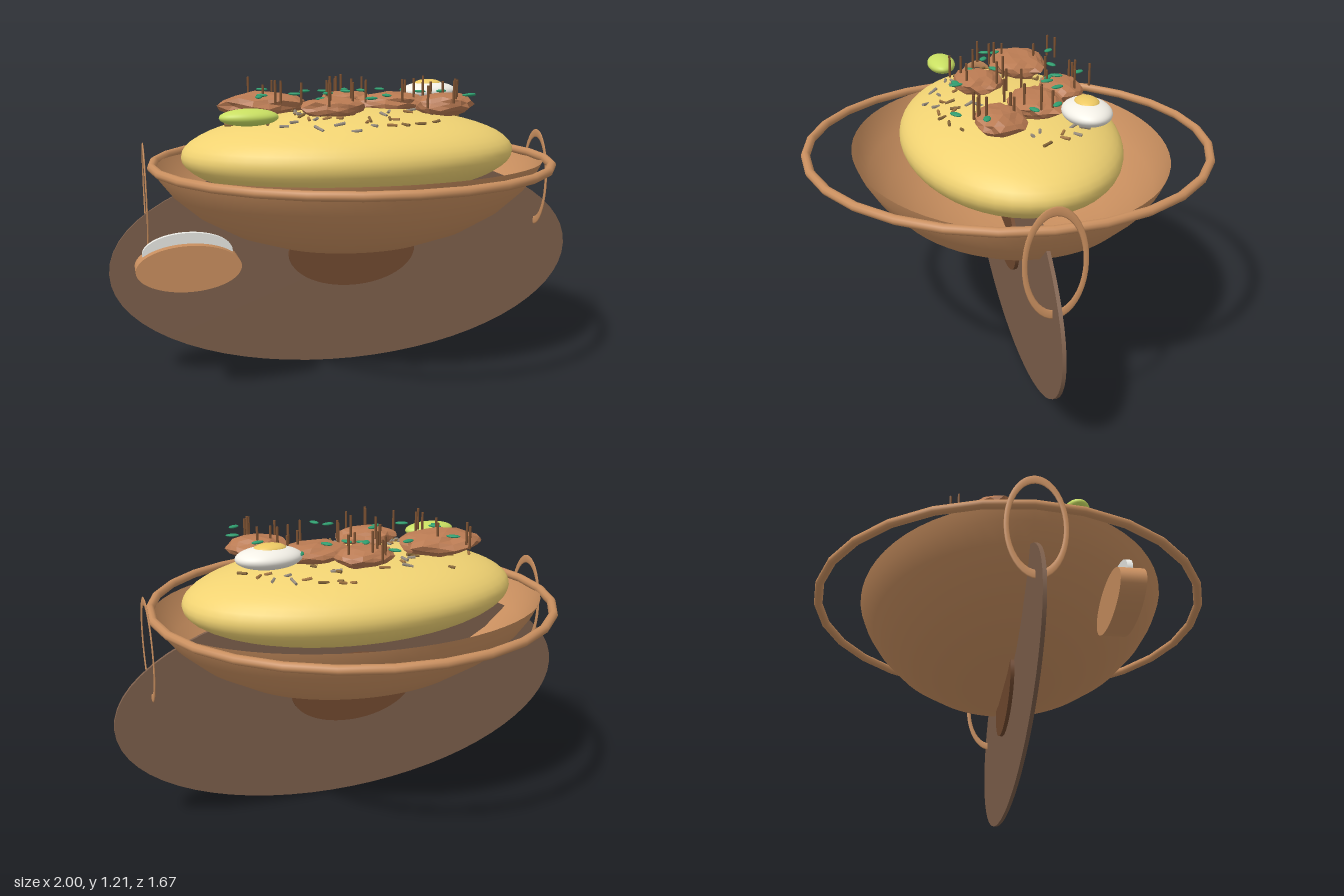
import * as THREE from 'three';

const mat = (color, extra = {}) => {
  const m = new THREE.MeshStandardMaterial({ color });
  return Object.assign(m, extra);
};

// Seeded random numbers for the scattered garnish
function seeded(seed) {
  return () => {
    seed = (seed * 16807) % 2147483647;
    return seed / 2147483647;
  };
}

export function createModel() {
  const group = new THREE.Group();
  const rand = seeded(4217);
  const wood = mat(0xc98f5f);
  const riceY = 0.905, riceR = [0.7, 0.18, 0.44];

  const add = (name, geometry, material, x = 0, y = 0, z = 0, parent = group) => {
    const mesh = new THREE.Mesh(geometry, material);
    mesh.name = name;
    mesh.position.set(x, y, z);
    parent.add(mesh);
    return mesh;
  };
  const ellipsoid = (name, material, [x, y, z], [rx, ry, rz], parent = group) => {
    const small = rx < 0.05;
    const mesh = add(name, new THREE.SphereGeometry(1, small ? 10 : 48, small ? 8 : 28), material, x, y, z, parent);
    mesh.scale.set(rx, ry, rz);
    return mesh;
  };
  // Elliptical disc standing upright, its faces towards +z and -z
  const uprightDisc = (name, material, [x, y, z], rx, ry, depth) => {
    const g = new THREE.CylinderGeometry(1, 1, depth, 64).rotateX(Math.PI / 2).scale(rx, ry, 1);
    return add(name, g, material, x, y, z);
  };
  const riceTop = (x, z) =>
    riceY + riceR[1] * Math.sqrt(Math.max(0, 1 - (x / riceR[0]) ** 2 - (z / riceR[2]) ** 2));

  // Upright tray and foot
  uprightDisc('tray', mat(0x7d5f4b), [0, 0.45, 0], 1, 0.45, 0.014);
  uprightDisc('foot', mat(0x70492f), [0, 0.485, 0], 0.275, 0.15, 0.044);

  // Oval bowl
  const profile = [[0, 0.51], [0.17, 0.51], [0.34, 0.537], [0.5, 0.59], [0.64, 0.668], [0.74, 0.755], [0.79, 0.82], [0.815, 0.87]]
    .map(([r, y]) => new THREE.Vector2(r, y));
  const bowl = add('bowl', new THREE.LatheGeometry(profile, 64), mat(0xc98f5f, { side: THREE.DoubleSide }));
  bowl.scale.z = 0.78;

  // Round rim ring
  add('rim', new THREE.TorusGeometry(0.815, 0.018, 10, 28).rotateX(Math.PI / 2).rotateY(Math.PI / 2), wood, 0, 0.87, 0);

  // Side handles: tall thin rings
  for (const side of [1, -1]) {
    const ring = new THREE.TorusGeometry(0.1, 0.009, 8, 40).rotateY(Math.PI / 2).scale(0.35, 1.95, 1.05);
    add(side > 0 ? 'leftHandle' : 'rightHandle', ring, wood, side * 0.845, 0.76, 0);
  }

  // Rice mound
  ellipsoid('rice', mat(0xf0d272), [0, riceY, 0], riceR);

  // Meat chunks: lumpy faceted stones
  const meatMat = mat(0xb97a52, { flatShading: true });
  const chunks = [
    [-0.345, -0.105, 0.19, 0.055, 0.125], [0.03, -0.205, 0.13, 0.045, 0.09], [0.19, -0.07, 0.16, 0.045, 0.11],
    [0.36, 0.1, 0.13, 0.05, 0.1], [-0.11, 0.11, 0.135, 0.045, 0.105],
  ];
  chunks.forEach(([x, z, rx, ry, rz], i) => {
    const g = new THREE.IcosahedronGeometry(1, 2);
    const p = g.attributes.position, v = new THREE.Vector3();
    for (let k = 0; k < p.count; k++) {
      v.fromBufferAttribute(p, k);
      const lump = 0.94 + 0.1 * Math.sin(5 * v.x + 3 * v.y + i * 2) * Math.cos(4 * v.z + i) + 0.06 * Math.sin(11 * v.y + 9 * v.z + 7 * v.x);
      v.multiplyScalar(lump);
      p.setXYZ(k, v.x, v.y, v.z);
    }
    g.scale(rx, ry, rz);
    g.computeVertexNormals();
    add('meatChunk', g, meatMat, x, 1.1, z);
  });

  // Egg half with yolk, and a lime wedge
  ellipsoid('eggWhite', mat(0xf2efe6), [0.415, 1.132, -0.21], [0.127, 0.042, 0.09]);
  ellipsoid('eggYolk', mat(0xecc863), [0.41, 1.165, -0.21], [0.062, 0.02, 0.045]);
  ellipsoid('lime', mat(0xc9df62), [-0.46, 1.08, 0.215], [0.113, 0.033, 0.06]);

  // Side cup with a pale filling disc
  uprightDisc('sideCup', wood, [-0.715, 0.548, 0.315], 0.192, 0.087, 0.09);
  uprightDisc('cupFilling', mat(0xe9e9e4), [-0.715, 0.6, 0.312], 0.165, 0.075, 0.02);

  // Green leaves
  const leafMat = mat(0x2f9c6e);
  const leaves = [
    [-0.05, -0.3], [-0.15, -0.21], [0.02, -0.19], [0.02, -0.16], [0.08, -0.14], [0.3, -0.23], [0.34, -0.12],
    [-0.37, -0.01], [-0.39, 0.03], [-0.25, 0.06], [0.4, -0.02], [0.17, -0.16], [0.02, 0.215], [0.08, 0.22],
    [0.45, 0.16], [0.415, 0.265], [-0.11, 0.04], [-0.16, 0.13], [-0.33, -0.24],
  ];
  for (const [x, z] of leaves) {
    const leaf = ellipsoid('leaf', leafMat, [x, 1.135 + rand() * 0.02, z], [0.028, 0.006, 0.014]);
    leaf.rotation.y = rand() * Math.PI;
  }

  // Upright slivers standing over the meat
  const sliverMat = mat(0x7d5232);
  const sliver = new THREE.CylinderGeometry(0.005, 0.005, 0.09, 6);
  for (let i = 0; i < 34; i++) {
    const [cx, cz, rx, , rz] = chunks[i % chunks.length];
    const a = rand() * Math.PI * 2, r = 0.4 + rand() * 0.7;
    add('sliver', sliver, sliverMat, cx + Math.cos(a) * r * rx, 1.135 + rand() * 0.03, cz + Math.sin(a) * r * rz * 1.3);
  }

  // Spice seeds lying on the rice
  const seedMats = [mat(0x8a6a3c), mat(0x9a8f80), mat(0xa87a45)];
  const seedGeo = new THREE.CylinderGeometry(0.006, 0.006, 0.042, 6).rotateZ(Math.PI / 2);
  for (let i = 0; i < 80; i++) {
    const a = rand() * Math.PI * 2, r = Math.sqrt(0.08 + rand() * 0.92);
    const x = Math.cos(a) * r * 0.52, z = Math.sin(a) * r * 0.33;
    const seed = add('spiceSeed', seedGeo, seedMats[i % 3], x, riceTop(x, z) + 0.004, z);
    seed.rotation.set((rand() - 0.5) * 0.5, rand() * Math.PI, (rand() - 0.5) * 0.5);
    seed.scale.x = 0.6 + rand() * 0.5;
  }

  return group;
}
